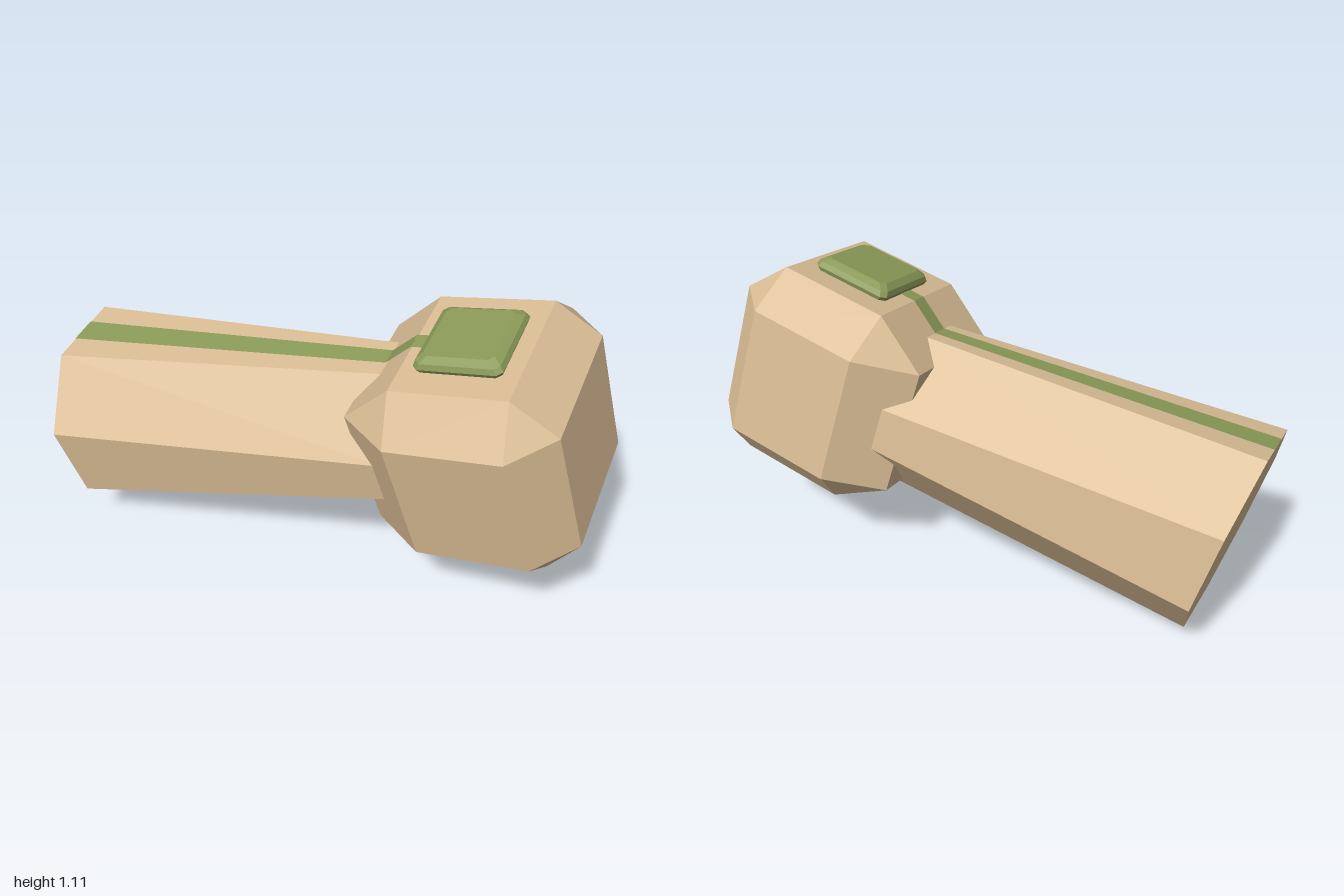
import * as THREE from 'three';
import { ConvexGeometry } from 'three/addons/geometries/ConvexGeometry.js';

const V = (x, y, z) => new THREE.Vector3(x, y, z);
const tan = new THREE.MeshStandardMaterial({ color: 0xd9bc94, flatShading: true });
const green = new THREE.MeshStandardMaterial({ color: 0x8a9a58, flatShading: true });
const stripGreen = new THREE.MeshStandardMaterial({ color: 0x8a9a58, side: THREE.DoubleSide });

function part(name, geometry, material) {
  const mesh = new THREE.Mesh(geometry, material);
  mesh.name = name;
  return mesh;
}

// Eight corners of a rectangle (half sizes a, b) with its corners cut back to (ia, ib)
function cutRect(a, b, ia, ib) {
  const pts = [];
  for (const s of [-1, 1]) for (const t of [-1, 1]) pts.push([s * a, t * ib], [s * ia, t * b]);
  return pts;
}

// Head: a box with every edge bevelled, with a longer bevel towards the handle
function headGeometry() {
  const a = 0.2, b = 0.2415, c = 0.2415, bevel = 0.135, longBevel = 0.195;
  const pts = [];
  for (const s of [-1, 1]) for (const t of [-1, 1]) for (const u of [-1, 1]) {
    pts.push(V(s * (a + (s < 0 ? longBevel : bevel)), t * b, u * c));
    pts.push(V(s * a, t * (b + bevel), u * c));
    pts.push(V(s * a, t * b, u * (c + bevel)));
  }
  return new ConvexGeometry(pts);
}

// Handle: tapering octagonal bar, slightly skewed from the head's axis
function handleGeometry() {
  const ends = [
    { x: -1.524, y: 0.079, z: 0.12, e: 0.355, h: 0.146 },
    { x: -0.28, y: 0, z: 0, e: 0.296, h: 0.08 },
  ];
  return new ConvexGeometry(ends.flatMap(({ x, y, z, e, h }) =>
    cutRect(e, e, h, h).map(([p, q]) => V(x, y + p, z + q))));
}

// Gem: flat bevelled slab with clipped corners
function gemGeometry() {
  const levels = [[0.37, 0.14], [0.392, 0.15], [0.41, 0.142], [0.426, 0.118]];
  return new ConvexGeometry(levels.flatMap(([y, r]) =>
    cutRect(r, r + 0.003, r - 0.018, r - 0.015).map(([x, z]) => V(x, y, z))));
}

// Stripe: narrow ribbon along the handle top, up the bevel and to the gem
function stripeGeometry() {
  const path = [ // x, y, z, half width
    [-1.524, 0.437, 0.12, 0.051],
    [-0.314, 0.304, 0, 0.032],
    [-0.203, 0.380, 0, 0.031],
    [-0.135, 0.380, 0, 0.031],
  ];
  const pos = [];
  for (let i = 0; i < path.length - 1; i++) {
    const [p, q] = [path[i], path[i + 1]];
    const a = [p[0], p[1], p[2] - p[3]], b = [p[0], p[1], p[2] + p[3]];
    const c = [q[0], q[1], q[2] + q[3]], d = [q[0], q[1], q[2] - q[3]];
    pos.push(...a, ...b, ...c, ...a, ...c, ...d);
  }
  const g = new THREE.BufferGeometry();
  g.setAttribute('position', new THREE.Float32BufferAttribute(pos, 3));
  g.computeVertexNormals();
  return g;
}

export function createModel() {
  const body = new THREE.Group();
  body.name = 'tiltedHammer';
  body.add(
    part('head', headGeometry(), tan),
    part('handle', handleGeometry(), tan),
    part('gem', gemGeometry(), green),
    part('stripe', stripeGeometry(), stripGreen),
  );

  // Resting tilt: x runs along the handle, y through the gem
  const right = V(0.97, 0.227, 0.085).normalize();
  const front = V(-0.046, -0.172, 0.983);
  const up = front.clone().cross(right).normalize();
  front.crossVectors(right, up);
  body.quaternion.setFromRotationMatrix(new THREE.Matrix4().makeBasis(right, up, front));
  body.position.set(0.593, 0.636, 0.001);

  const model = new THREE.Group();
  model.name = 'hammer';
  model.add(body);
  return model;
}
